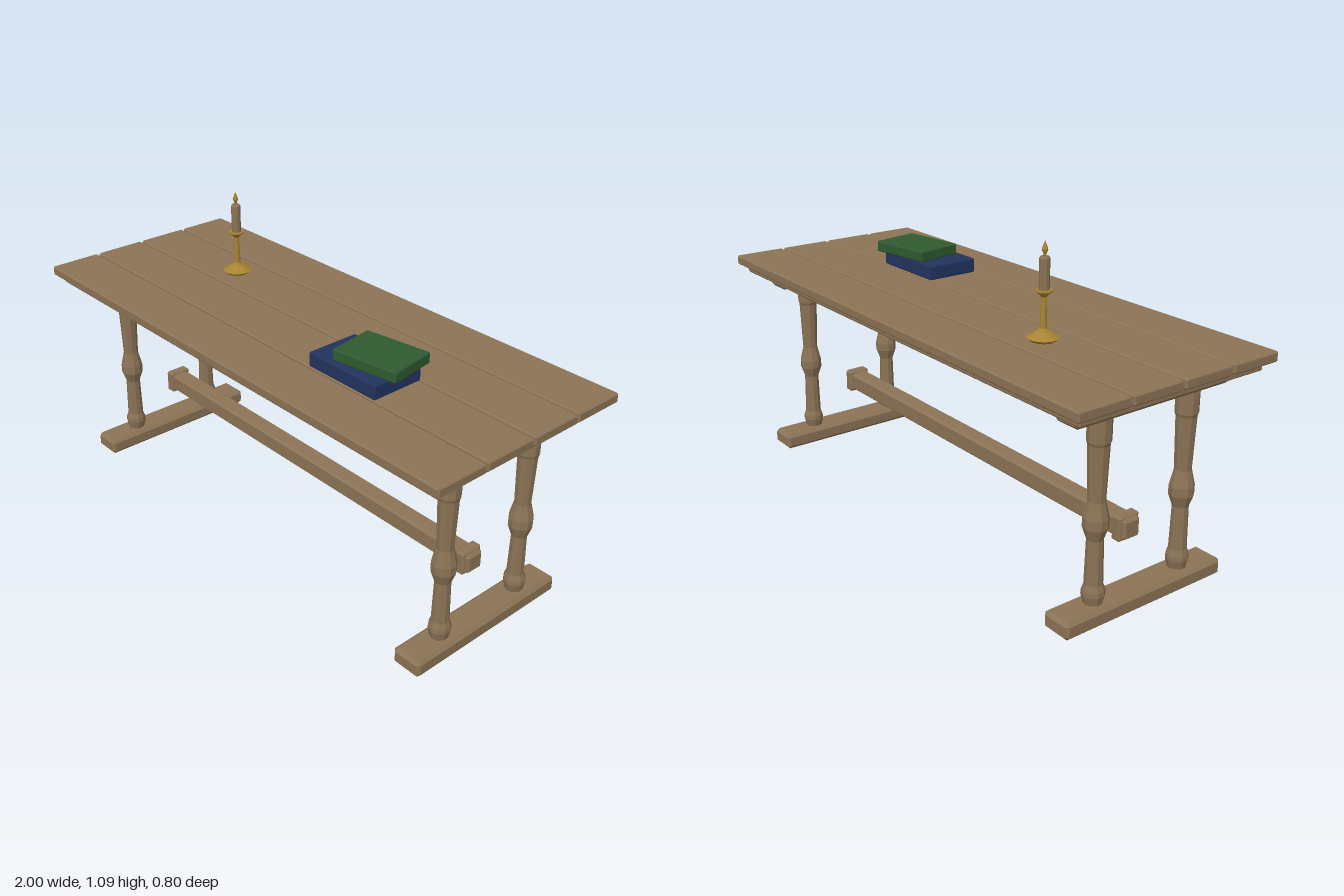
import * as THREE from 'three';
import { ConvexGeometry } from 'three/addons/geometries/ConvexGeometry.js';

const mat = (name, color, flat = true) => {
  const m = new THREE.MeshStandardMaterial({ color, flatShading: flat });
  m.name = name;
  return m;
};

// Box with all edges chamfered by c
function chamferBox(w, h, d, c) {
  const pts = [];
  for (const x of [-1, 1]) for (const y of [-1, 1]) for (const z of [-1, 1]) {
    for (let k = 0; k < 3; k++) {
      pts.push(new THREE.Vector3(
        x * (w / 2 - (k === 0 ? 0 : c)),
        y * (h / 2 - (k === 1 ? 0 : c)),
        z * (d / 2 - (k === 2 ? 0 : c))));
    }
  }
  return new ConvexGeometry(pts);
}

const lathe = (profile, sides) =>
  new THREE.LatheGeometry(profile.map(([r, y]) => new THREE.Vector2(r, y)), sides);

export function createModel() {
  const group = new THREE.Group();
  const wood = mat('wood', 0x8b7355);
  const blue = mat('blueCover', 0x22335f);
  const green = mat('greenCover', 0x2f5a30);
  const brass = mat('brass', 0xa88432);

  const add = (name, geometry, material, x = 0, y = 0, z = 0) => {
    const mesh = new THREE.Mesh(geometry, material);
    mesh.name = name;
    mesh.position.set(x, y, z);
    group.add(mesh);
    return mesh;
  };
  // Chamfered block given by its centre and its bottom and top heights
  const block = (name, material, w, d, y0, y1, c, x = 0, z = 0) =>
    add(name, chamferBox(w, y1 - y0, d, c), material, x, (y0 + y1) / 2, z);

  // Table top: four planks over a backing board
  for (let i = 0; i < 4; i++) {
    block('topPlank', wood, 2, 0.194, 0.745, 0.78, 0.005, 0, -0.303 + i * 0.202);
  }
  block('backingBoard', wood, 1.94, 0.74, 0.715, 0.745, 0.005);

  // Trestle ends: foot, cleat and two turned legs each
  const legProfile = [
    [0, 0.055], [0.03, 0.055], [0.038, 0.09], [0.037, 0.105], [0.03, 0.125],
    [0.027, 0.275], [0.041, 0.315], [0.041, 0.345], [0.028, 0.4],
    [0.034, 0.58], [0.038, 0.59], [0.038, 0.675], [0, 0.675],
  ];
  const legGeometry = lathe(legProfile, 10);
  for (const side of [-1, 1]) {
    const x = side * 0.85;
    block('foot', wood, 0.11, 0.66, 0, 0.06, 0.012, x);
    block('cleat', wood, 0.095, 0.62, 0.667, 0.714, 0.009, x);
    for (const z of [-0.18, 0.18]) add('turnedLeg', legGeometry, wood, x, 0, z);
    block('stretcherCollar', wood, 0.038, 0.086, 0.193, 0.279, 0.007, side * 0.792);
  }
  block('stretcher', wood, 1.65, 0.068, 0.202, 0.27, 0.008);

  // Stacked books
  block('lowerBook', blue, 0.3, 0.2, 0.78, 0.832, 0.004, 0.4, 0.1);
  block('upperBook', green, 0.245, 0.18, 0.832, 0.872, 0.004, 0.449, 0.077).rotation.y = 0.155;

  // Candlestick, candle and flame
  const cx = -0.5, cz = -0.1;
  add('candlestick', lathe([
    [0, 0.78], [0.042, 0.78], [0.053, 0.79], [0.045, 0.794], [0.02, 0.81], [0.012, 0.82],
    [0.008, 0.918], [0.014, 0.925], [0.028, 0.936], [0.028, 0.941], [0, 0.941],
  ], 12), brass, cx, 0, cz);
  add('candle', lathe([
    [0, 0.938], [0.017, 0.938], [0.017, 1.04], [0.013, 1.046], [0, 1.046],
  ], 10), wood, cx, 0, cz);
  add('flame', lathe([
    [0, 1.044], [0.004, 1.05], [0.01, 1.066], [0.007, 1.076], [0, 1.094],
  ], 8), brass, cx, 0, cz);

  return group;
}
